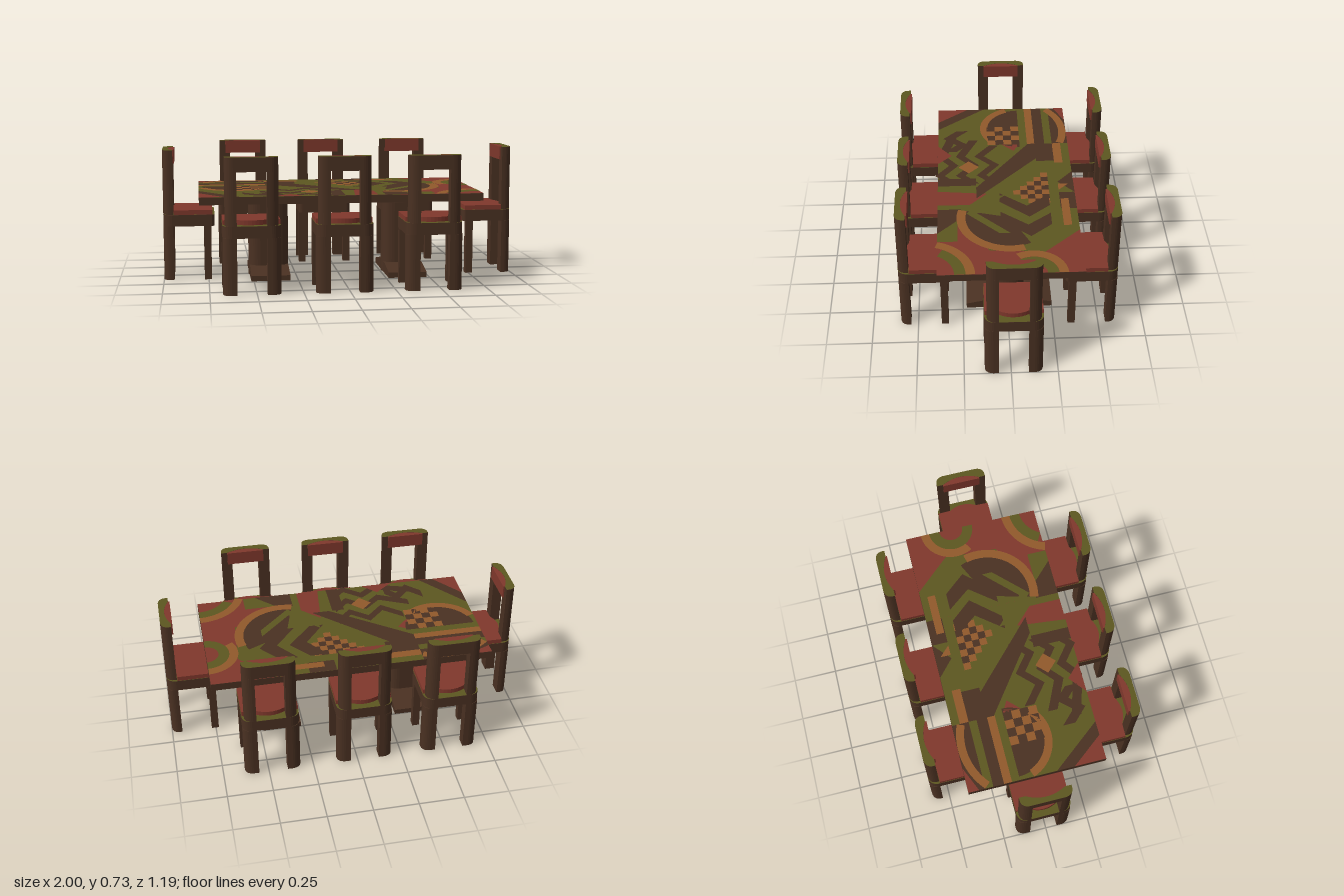
import * as THREE from 'three';

const mat = (name, color) => new THREE.MeshStandardMaterial({ name, color });
const wood = mat('dark wood', 0x4a3122);
const olive = mat('olive', 0x5c5720);
const red = mat('brick red', 0x80382c);
const amber = mat('amber wood', 0x91592b);

const mesh = (name, geo, m, x = 0, y = 0, z = 0) => {
  const o = new THREE.Mesh(geo, m);
  o.name = name;
  o.position.set(x, y, z);
  return o;
};
const box = (name, m, x0, x1, y0, y1, z0, z1) =>
  mesh(name, new THREE.BoxGeometry(x1 - x0, y1 - y0, z1 - z0), m, (x0 + x1) / 2, (y0 + y1) / 2, (z0 + z1) / 2);

// Plan outline: each entry is [x, z], or [cx, cz, x, z] for a curve
const plan = (pts) => {
  const s = new THREE.Shape();
  pts.forEach((p, i) => {
    if (!i) s.moveTo(p[0], -p[1]);
    else if (p.length === 2) s.lineTo(p[0], -p[1]);
    else s.quadraticCurveTo(p[0], -p[1], p[2], -p[3]);
  });
  return s;
};
const prism = (name, shape, m, y0, y1) =>
  mesh(name, new THREE.ExtrudeGeometry(shape, { depth: y1 - y0, bevelEnabled: false, curveSegments: 8 })
    .rotateX(-Math.PI / 2), m, 0, y0, 0);
const plate = (name, shape, m, y) =>
  mesh(name, new THREE.ShapeGeometry(shape, 16).rotateX(-Math.PI / 2), m, 0, y, 0);

// Chair with its rear at z = 0, facing -z
function chair() {
  const g = new THREE.Group();
  g.name = 'chair';
  const seat = plan([[-0.155, -0.272], [-0.15, -0.287, -0.13, -0.287], [0.13, -0.287], [0.15, -0.287, 0.155, -0.272],
    [0.155, -0.05], [0.15, -0.004, 0.105, 0], [-0.105, 0], [-0.15, -0.004, -0.155, -0.05]]);
  g.add(prism('seatFrame', seat, wood, 0.305, 0.369), plate('seatFrameTop', seat, olive, 0.37));
  const cushion = plan([[-0.153, -0.275], [0.153, -0.275], [0.153, -0.06], [0.08, -0.058],
    [0, -0.012, -0.08, -0.058], [-0.153, -0.06]]);
  g.add(prism('seatCushion', cushion, red, 0.37, 0.396));
  for (const s of [-1, 1]) {
    g.add(box('frontLeg', wood, s * 0.135 - 0.02, s * 0.135 + 0.02, 0, 0.305, -0.267, -0.227));
    // rounded rear leg and the slimmer upright above it
    const post = (w) => plan([[s * 0.08, 0], [s * (w - 0.045), 0], [s * w, -0.004, s * w, -0.045],
      [s * w, -0.057], [s * 0.08, -0.057]]);
    g.add(prism('rearLeg', post(0.155), wood, 0, 0.305));
    g.add(prism('upright', post(0.1425), wood, 0.369, 0.655));
  }
  const crest = plan([[-0.1425, -0.057], [-0.107, -0.057], [0, 0, 0.107, -0.057], [0.1425, -0.057],
    [0.1425, -0.045], [0.1425, -0.004, 0.097, 0], [-0.097, 0], [-0.1425, -0.004, -0.1425, -0.045]]);
  const pad = plan([[-0.107, -0.065], [0.107, -0.065], [0.107, -0.057], [0, 0, -0.107, -0.057]]);
  g.add(prism('crestRail', crest, wood, 0.655, 0.731), plate('crestTop', crest, olive, 0.732));
  g.add(prism('backPad', pad, red, 0.656, 0.731));
  return g;
}

function pedestal(x) {
  const g = new THREE.Group();
  g.name = 'pedestal';
  // oval column
  const c = plan([[-0.05, -0.085], [0.05, -0.085], [0.115, -0.08, 0.115, 0], [0.115, 0.08, 0.05, 0.085],
    [-0.05, 0.085], [-0.115, 0.08, -0.115, 0], [-0.115, -0.08, -0.05, -0.085]]);
  g.add(prism('column', c, wood, 0, 0.426));
  g.add(mesh('supportDisc', new THREE.CylinderGeometry(0.195, 0.195, 0.03, 40), wood, 0, 0.441, 0));
  // tapered foot running across the table
  const f = new THREE.Shape([[-0.24, 0], [0.24, 0], [0.24, 0.03], [0.1, 0.06], [-0.1, 0.06], [-0.24, 0.03]]
    .map(([a, b]) => new THREE.Vector2(a, b)));
  g.add(mesh('foot', new THREE.ExtrudeGeometry(f, { depth: 0.22, bevelEnabled: false })
    .translate(0, 0, -0.11).rotateY(Math.PI / 2), wood));
  g.position.set(x, 0, -0.01);
  return g;
}

// Inlaid geometric pattern of the table top
function inlay() {
  const g = new THREE.Group();
  g.name = 'tableInlay';
  const put = (m, level, pts) => g.add(plate('inlay', plan(pts), m, 0.4972 + level * 0.0007));
  const rect = (m, l, x0, x1, z0, z1) => put(m, l, [[x0, z0], [x1, z0], [x1, z1], [x0, z1]]);
  // band following a path, dz deep along z
  const band = (m, l, dz, pts) => put(m, l, [...pts, ...pts.map(([x, z]) => [x, z + dz]).reverse()]);
  // ring sector, degrees from +x towards +z
  const ring = (m, l, cx, cz, r0, r1, a0, a1) => {
    const arc = (r) => Array.from({ length: 21 }, (_, i) => {
      const a = (a0 + (a1 - a0) * i / 20) * Math.PI / 180;
      return [cx + r * Math.cos(a), cz + r * Math.sin(a)];
    });
    put(m, l, [...arc(r1), ...(r0 ? arc(r0).reverse() : [[cx, cz]])]);
  };
  const checker = (l, x0, z0, cols, rows, s, keep = () => true) => {
    for (let i = 0; i < cols; i++) for (let j = 0; j < rows; j++) {
      if (keep(i, j)) rect((i + j) % 2 ? wood : amber, l, x0 + i * s, x0 + (i + 1) * s, z0 + j * s, z0 + (j + 1) * s);
    }
  };

  // left end: stripes, arcs and checks
  put(red, 1, [[-0.8, -0.4], [-0.66, -0.4], [-0.8, -0.34]]);
  ring(amber, 2, -0.55, -0.02, 0.335, 0.38, -131, -68);
  rect(olive, 1, -0.8, -0.41, -0.305, -0.26);
  rect(amber, 1, -0.8, -0.41, -0.2, -0.155);
  rect(olive, 1, -0.8, -0.41, -0.155, -0.11);
  rect(olive, 1, -0.8, -0.41, -0.11, 0.38);
  ring(wood, 2, -0.58, -0.11, 0, 0.2, 0, 180);
  ring(amber, 3, -0.58, -0.11, 0.19, 0.235, 45, 160);
  checker(3, -0.6, -0.11, 4, 4, 0.0485);
  put(red, 2, [[-0.8, 0.2], [-0.66, 0.38], [-0.8, 0.38]]);
  put(wood, 2, [[-0.8, 0.1], [-0.58, 0.38], [-0.66, 0.38], [-0.8, 0.2]]);

  // middle: olive field with diagonals
  rect(olive, 1, -0.41, 0.23, -0.4, 0.38);
  rect(amber, 2, -0.41, -0.21, -0.355, -0.305);
  rect(wood, 2, -0.41, -0.23, -0.305, -0.2);
  put(wood, 2, [[-0.41, -0.24], [-0.3, -0.24], [0.12, 0.16], [0.02, 0.16], [-0.41, -0.16]]);
  put(wood, 2, [[-0.12, -0.4], [0.08, -0.4], [-0.02, -0.31]]);
  put(red, 2, [[-0.41, -0.11], [-0.34, -0.07], [-0.41, 0.0]]);
  rect(wood, 2, 0.08, 0.23, -0.4, -0.31);
  put(amber, 3, [[0.0, -0.31], [0.0, -0.37], [0.06, -0.31]]);
  checker(3, -0.11, -0.255, 7, 6, 0.041, (i, j) => i >= j * 0.8 && i + j < 9);
  // chevrons
  for (let k = 0; k < 3; k++) {
    const z = 0.02 + k * 0.12;
    band(wood, 2, 0.055, [[-0.4 - k * 0.06, z], [-0.29, z + 0.09 - k * 0.01], [-0.2, z], [-0.1, z + 0.08], [-0.02, z]]);
  }
  band(wood, 3, 0.07, [[-0.56, 0.2], [-0.48, 0.28], [-0.41, 0.2], [-0.34, 0.27]]);
  put(red, 3, [[-0.4, 0.38], [-0.3, 0.3], [-0.22, 0.38]]);
  put(amber, 3, [[-0.24, 0.2], [-0.18, 0.14], [-0.12, 0.2], [-0.18, 0.26]]);
  put(red, 2, [[0.08, 0.1], [0.18, 0.2], [0.18, 0.38], [0.05, 0.38]]);
  rect(wood, 2, -0.07, 0.0, 0.16, 0.38);

  // right end: red field, large disc, arcs and chevrons
  rect(red, 1, 0.23, 0.77, -0.4, 0.38);
  put(olive, 2, [[0.23, -0.4], [0.42, -0.4], [0.6, -0.2], [0.58, 0.1], [0.23, 0.26]]);
  ring(wood, 3, 0.3, -0.02, 0, 0.25, -25, 105);
  ring(amber, 4, 0.3, -0.02, 0.245, 0.295, -15, 105);
  rect(amber, 3, 0.14, 0.38, -0.36, -0.315);
  for (const x of [0.1, 0.27]) {
    put(wood, 4, [[x, -0.25], [x + 0.1, -0.25], [x + 0.2, -0.13], [x + 0.06, 0.03], [x - 0.02, 0.03], [x + 0.1, -0.12]]);
  }
  band(olive, 5, 0.06, [[0.1, 0.0], [0.26, 0.16], [0.44, -0.02]]);
  ring(amber, 3, 0.77, -0.13, 0.13, 0.18, 150, 270);
  ring(olive, 2, 0.77, -0.13, 0.07, 0.13, 90, 270);
  rect(olive, 2, 0.2, 0.5, 0.27, 0.38);
  put(wood, 3, [[0.22, 0.25], [0.3, 0.25], [0.43, 0.38], [0.22, 0.38]]);
  ring(amber, 4, 0.77, 0.46, 0.23, 0.28, 197, 270);
  ring(olive, 3, 0.77, 0.46, 0.17, 0.23, 208, 270);
  return g;
}

export function createModel() {
  const root = new THREE.Group();
  root.name = 'diningSet';
  root.add(box('tableTop', wood, -0.8, 0.77, 0.455, 0.497, -0.4, 0.38), inlay());
  root.add(pedestal(-0.405), pedestal(0.375));
  // three chairs per long side, one at each end
  const spots = [
    [-0.525, 0.597, 0], [-0.03, 0.597, 0], [0.455, 0.597, 0],
    [-0.525, -0.597, Math.PI], [-0.04, -0.597, Math.PI], [0.475, -0.597, Math.PI],
    [1, -0.015, Math.PI / 2], [-1, -0.015, -Math.PI / 2],
  ];
  for (const [x, z, turn] of spots) {
    const c = chair();
    c.position.set(x, 0, z);
    c.rotation.y = turn;
    root.add(c);
  }
  return root;
}
